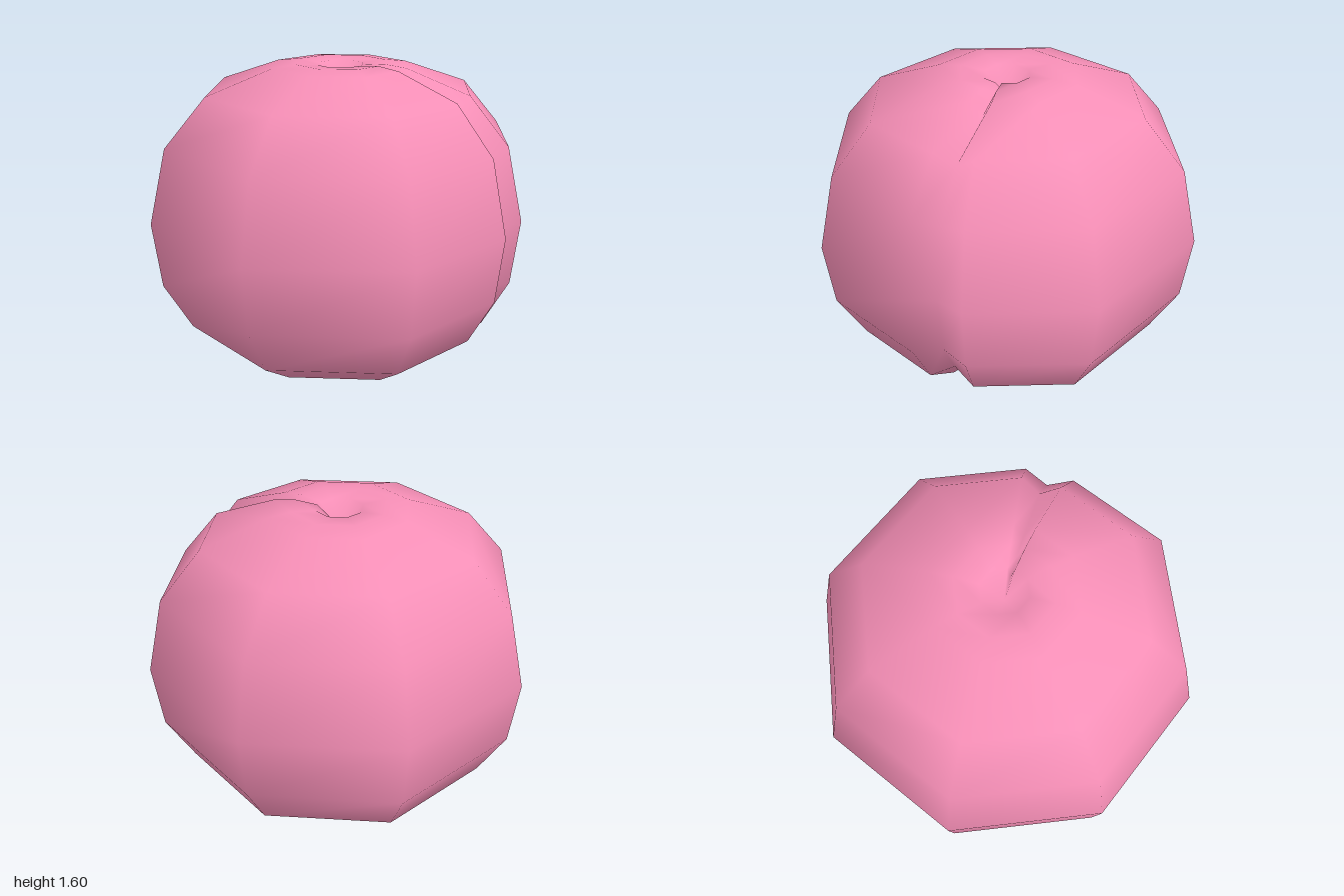
import * as THREE from 'three';

// Rings from bottom to top: [radius, height, cleft depth inward, cleft depth vertical]
const RINGS = [
  [0.2, 0.0, 0.03, 0.05],
  [0.41, 0.04, 0.05, 0.07],
  [0.6, 0.1, 0.07, 0.07],
  [0.82, 0.25, 0.09, 0.06],
  [0.96, 0.5, 0.11, 0.02],
  [1.0, 0.84, 0.11, 0],
  [0.91, 1.22, 0.1, -0.03],
  [0.7, 1.46, 0.07, -0.06],
  [0.36, 1.58, 0.04, -0.08],
  [0.24, 1.595, 0.03, -0.08],
  [0.12, 1.585, 0.02, -0.06],
];
const BOTTOM_Y = 0.03, TOP_Y = 1.48;

// Eight corners per ring, the front-left one split into ridge, valley, ridge
function ringPoints([r, y, inward, lift]) {
  const corner = (k) => new THREE.Vector3(r * Math.sin(k * Math.PI / 4), y, r * Math.cos(k * Math.PI / 4));
  const points = [];
  for (let k = 0; k < 8; k++) {
    if (k !== 1) {
      points.push(corner(k));
      continue;
    }
    const valley = corner(1).multiplyScalar((r - inward) / r).setY(y + lift);
    points.push(corner(1).lerp(corner(0), 0.2), valley, corner(1).lerp(corner(2), 0.2));
  }
  return points;
}

function fruitGeometry() {
  const rings = RINGS.map(ringPoints);
  const n = rings[0].length;
  const points = [...rings.flat(), new THREE.Vector3(0, BOTTOM_Y, 0), new THREE.Vector3(0, TOP_Y, 0)];
  const bottom = rings.length * n, top = bottom + 1, last = (rings.length - 1) * n;
  const index = [];
  for (let j = 0; j < n; j++) {
    const k = (j + 1) % n;
    for (let i = 0; i < rings.length - 1; i++) {
      const a = i * n + j, b = i * n + k;
      index.push(a, b, b + n, a, b + n, a + n);
    }
    // Dimples at both poles
    index.push(bottom, k, j, top, last + j, last + k);
  }
  const geometry = new THREE.BufferGeometry().setFromPoints(points);
  geometry.setIndex(index);
  geometry.computeVertexNormals();
  return geometry;
}

export function createModel() {
  const group = new THREE.Group();
  group.name = 'peach';
  const fruit = new THREE.Mesh(fruitGeometry(), new THREE.MeshStandardMaterial({ color: 0xf78fb7 }));
  fruit.name = 'fruit';
  group.add(fruit);
  return group;
}
